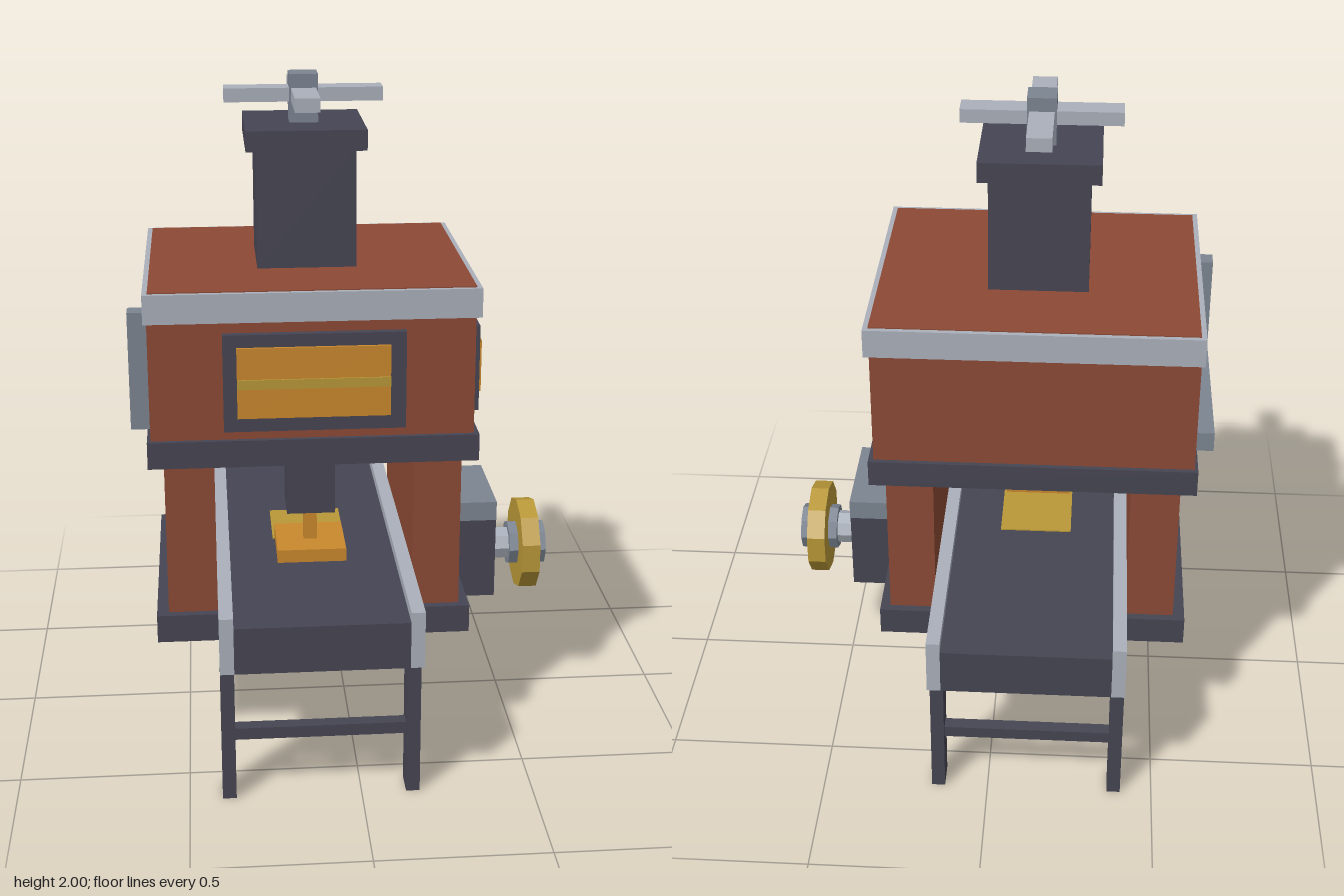
import * as THREE from 'three';

const mat = (name, color) => Object.assign(new THREE.MeshStandardMaterial({ color }), { name });

export function createModel() {
  const brick = mat('brick red', 0x8c4a35);
  const iron = mat('dark iron', 0x464553);
  const silver = mat('light steel', 0xaab0bb);
  const steel = mat('mid steel', 0x7c8592);
  const glow = mat('glowing orange', 0xca882d);
  const brass = mat('brass', 0xb99838);

  const model = new THREE.Group();
  model.name = 'forgePress';

  // box given by its extents on each axis
  const box = (name, m, [x0, x1], [y0, y1], [z0, z1]) => {
    const mesh = new THREE.Mesh(new THREE.BoxGeometry(x1 - x0, y1 - y0, z1 - z0), m);
    mesh.position.set((x0 + x1) / 2, (y0 + y1) / 2, (z0 + z1) / 2);
    mesh.name = name;
    model.add(mesh);
  };
  // faceted drum along x, with corners at top and bottom
  const drum = (name, m, r, sides, x0, x1) => {
    const g = new THREE.CylinderGeometry(r, r, x1 - x0, sides, 1, false, Math.PI / 2).rotateZ(-Math.PI / 2).toNonIndexed();
    g.computeVertexNormals();
    const mesh = new THREE.Mesh(g, m);
    mesh.position.set((x0 + x1) / 2, 0.495, 0);
    mesh.name = name;
    model.add(mesh);
  };
  const sym = (h) => [-h, h];
  const cx = -0.12;
  const mid = (h) => [cx - h, cx + h];

  // furnace body
  box('furnaceBody', brick, [-0.585, 0.345], [1.015, 1.37], sym(0.39));
  box('lowerBand', iron, [-0.595, 0.36], [0.935, 1.015], sym(0.405));
  box('upperBand', silver, [-0.595, 0.36], [1.365, 1.45], sym(0.405));
  box('roofPanel', brick, [-0.58, 0.345], [1.448, 1.453], sym(0.39));

  // side walls and plinths
  box('rightWall', brick, [-0.55, -0.405], [0.465, 0.935], sym(0.365));
  box('leftWall', brick, [0.175, 0.315], [0.465, 0.935], sym(0.365));
  box('rightPlinth', iron, [-0.585, -0.37], [0.38, 0.465], sym(0.39));
  box('leftPlinth', iron, [0.145, 0.345], [0.38, 0.465], sym(0.39));

  // chimney and cross valve
  box('chimney', iron, mid(0.145), [1.45, 1.805], sym(0.145));
  box('chimneyCap', iron, mid(0.174), [1.8, 1.86], sym(0.174));
  box('valvePost', steel, mid(0.042), [1.86, 2], sym(0.042));
  box('valveArmX', silver, mid(0.231), [1.92, 1.96], sym(0.036));
  box('valveArmZ', silver, mid(0.036), [1.92, 1.96], sym(0.231));

  // front window
  box('frontWindowFrame', iron, [-0.375, 0.145], [1.045, 1.332], [0.385, 0.413]);
  box('frontWindowGlow', glow, [-0.336, 0.1], [1.087, 1.295], [0.413, 0.422]);
  box('frontWindowBar', brass, [-0.336, 0.1], [1.175, 1.203], [0.422, 0.427]);

  // side window
  box('sideWindowFrame', iron, [0.34, 0.373], [1.05, 1.307], [0.062, 0.292]);
  box('sideWindowGlow', glow, [0.373, 0.382], [1.1, 1.255], [0.085, 0.267]);

  // bent pipe on the far side
  box('pipeRun', steel, [-0.643, -0.583], [1.017, 1.077], [-0.29, 0.29]);
  box('pipeRiser', steel, [-0.643, -0.583], [1.077, 1.368], [0.233, 0.29]);

  // press ram over the table
  box('ramHousing', iron, mid(0.072), [0.73, 0.935], [0.128, 0.272]);
  box('ramRod', glow, mid(0.02), [0.62, 0.73], [0.18, 0.22]);
  box('ramPlate', glow, mid(0.103), [0.585, 0.625], [0.097, 0.303]);
  box('workPatch', brass, mid(0.11), [0.578, 0.584], sym(0.11));

  // feed table
  box('tableDeck', iron, [-0.365, 0.13], [0.44, 0.58], sym(0.725));
  for (const [x0, x1] of [[-0.405, -0.365], [0.13, 0.17]]) {
    box('tableRail', silver, [x0, x1], [0.44, 0.61], sym(0.725));
    for (const s of [-1, 1]) box('tableLeg', iron, [x0, x1], [0, 0.44], sym(0.04).map((z) => z + s * 0.61));
  }
  for (const s of [-1, 1]) box('legBrace', iron, [-0.365, 0.13], [0.18, 0.216], sym(0.02).map((z) => z + s * 0.61));

  // gearbox with handwheel
  box('gearbox', iron, [0.312, 0.461], [0.38, 0.668], sym(0.146));
  box('gearboxCap', steel, [0.312, 0.46], [0.64, 0.7], sym(0.158));
  drum('wheelShaft', silver, 0.052, 8, 0.46, 0.525);
  drum('wheelHub', steel, 0.071, 8, 0.522, 0.637);
  drum('handwheel', brass, 0.145, 10, 0.55, 0.606);

  return model;
}
